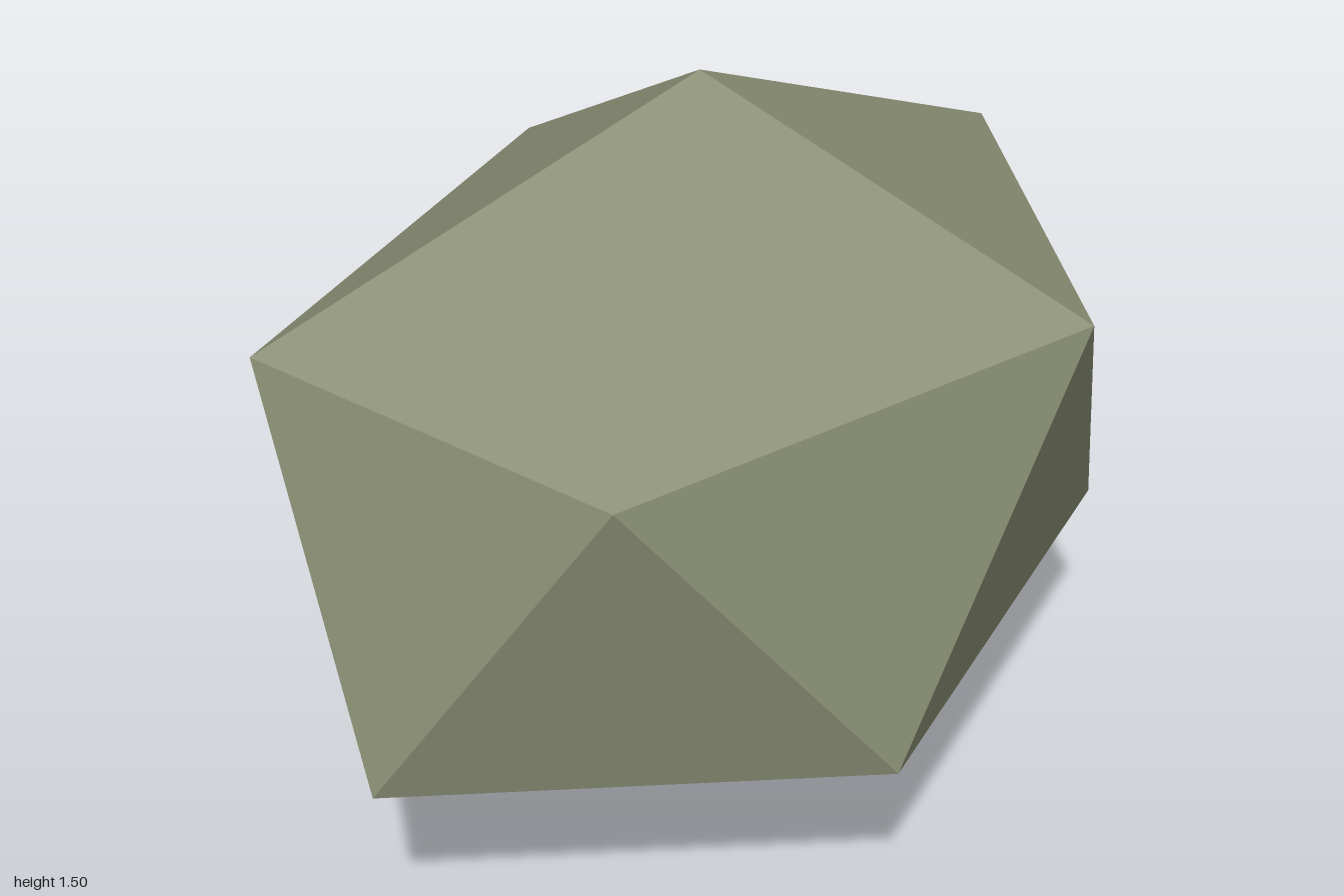
import * as THREE from 'three';

const olive = new THREE.MeshStandardMaterial({ color: 0x8c9176, flatShading: true });
olive.name = 'mossy stone';
const sand = new THREE.MeshStandardMaterial({ color: 0xc8b98f, flatShading: true });
sand.name = 'sandy stone';

// Icosahedron standing on a vertex: two poles and two staggered rings of five
function standingIcosahedron() {
  const h = 1 / Math.sqrt(5), r = 2 * h;
  const points = [0, 1, 0, 0, -1, 0];
  const faces = [];
  for (let i = 0; i < 5; i++) {
    const a = (i * Math.PI * 2) / 5, b = a + Math.PI / 5;
    points.push(r * Math.cos(a), h, r * Math.sin(a), r * Math.cos(b), -h, r * Math.sin(b));
    const n = (i + 1) % 5;
    const t0 = 2 + i * 2, b0 = t0 + 1, t1 = 2 + n * 2, b1 = t1 + 1;
    faces.push(0, t1, t0, t0, t1, b0, b0, t1, b1, 1, b0, b1);
  }
  return new THREE.PolyhedronGeometry(points, faces, 1, 0);
}

function rock(name, material, position, radii) {
  const mesh = new THREE.Mesh(standingIcosahedron(), material);
  mesh.name = name;
  mesh.position.set(...position);
  mesh.scale.set(...radii);
  return mesh;
}

export function createModel() {
  const group = new THREE.Group();
  group.name = 'rocks';
  group.add(
    rock('largeRock', olive, [-0.07, 0.752, 0.006], [1.04, 0.752, 0.808]),
    rock('smallRock', sand, [0.62, 0.525, -0.339], [0.423, 0.345, 0.423])
  );
  return group;
}
